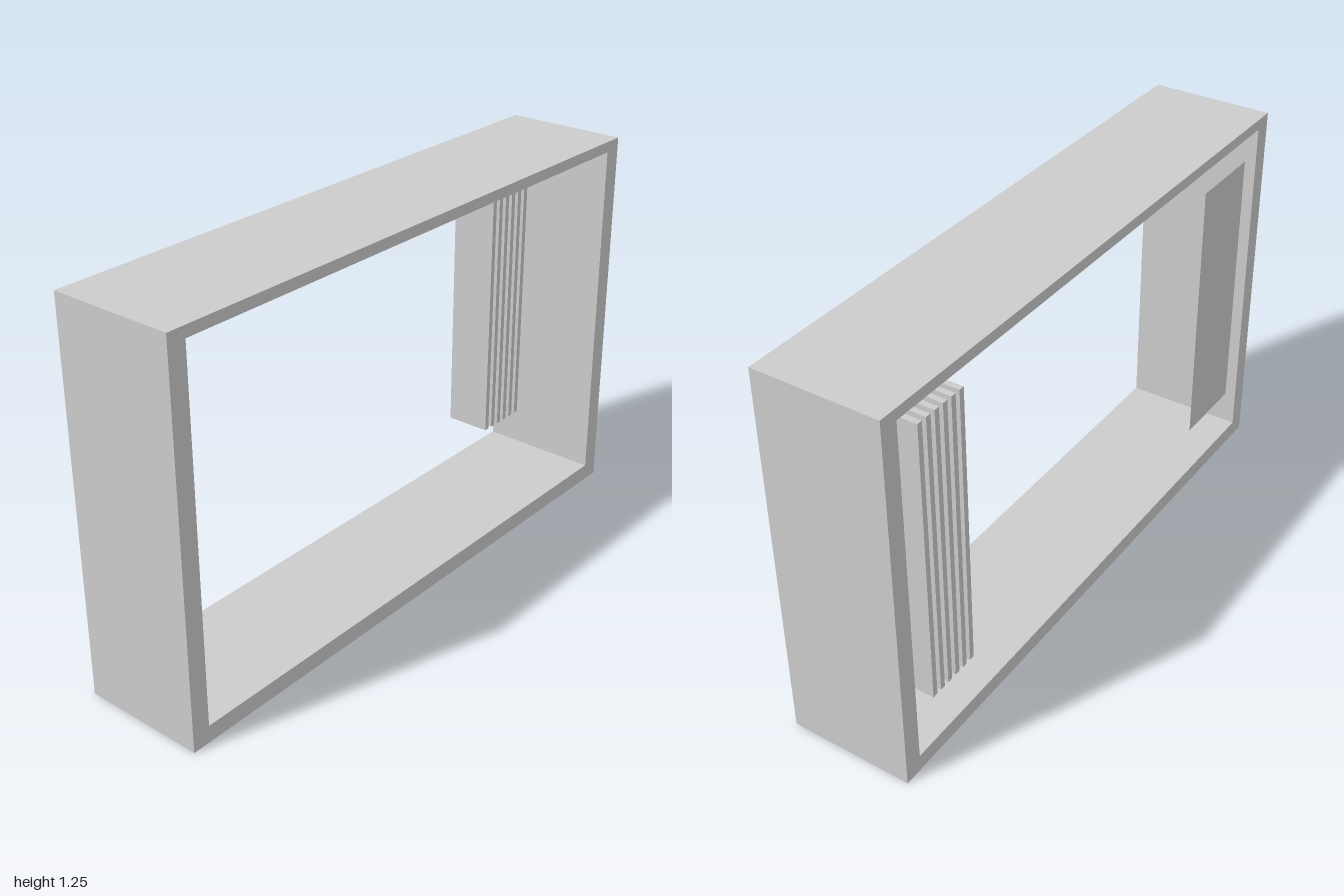
import * as THREE from 'three';

export function createModel() {
  const group = new THREE.Group();
  const grey = new THREE.MeshStandardMaterial({ color: 0xcccccc, side: THREE.DoubleSide });
  const depth = 0.404;

  function add(name, geometry, x = 0, y = 0, z = 0) {
    const mesh = new THREE.Mesh(geometry, grey);
    mesh.name = name;
    mesh.position.set(x, y, z);
    group.add(mesh);
  }

  // Rectangular outline from two opposite corners
  function rectangle(path, x0, y0, x1, y1) {
    path.moveTo(x0, y0);
    path.lineTo(x1, y0);
    path.lineTo(x1, y1);
    path.lineTo(x0, y1);
    path.closePath();
    return path;
  }

  // Window frame: thick sides and sill, thinner top
  const outline = rectangle(new THREE.Shape(), -1, 0, 1, 1.245);
  outline.holes.push(rectangle(new THREE.Path(), -0.94, 0.055, 0.94, 1.21));
  const frame = new THREE.ExtrudeGeometry(outline, { depth, bevelEnabled: false });
  add('frame', frame, 0, 0, -depth / 2);

  // Flat panel with no thickness, flush with the back
  add('backPanel', new THREE.PlaneGeometry(0.262, 0.901), -0.729, 0.6805, -0.201);

  // Row of upright slats at the back
  const slat = new THREE.BoxGeometry(0.018, 0.932, 0.152);
  for (let i = 0; i < 6; i++) {
    add(`slat${i + 1}`, slat, 0.682 + i * 0.0346, 0.686, -0.126);
  }

  return group;
}
